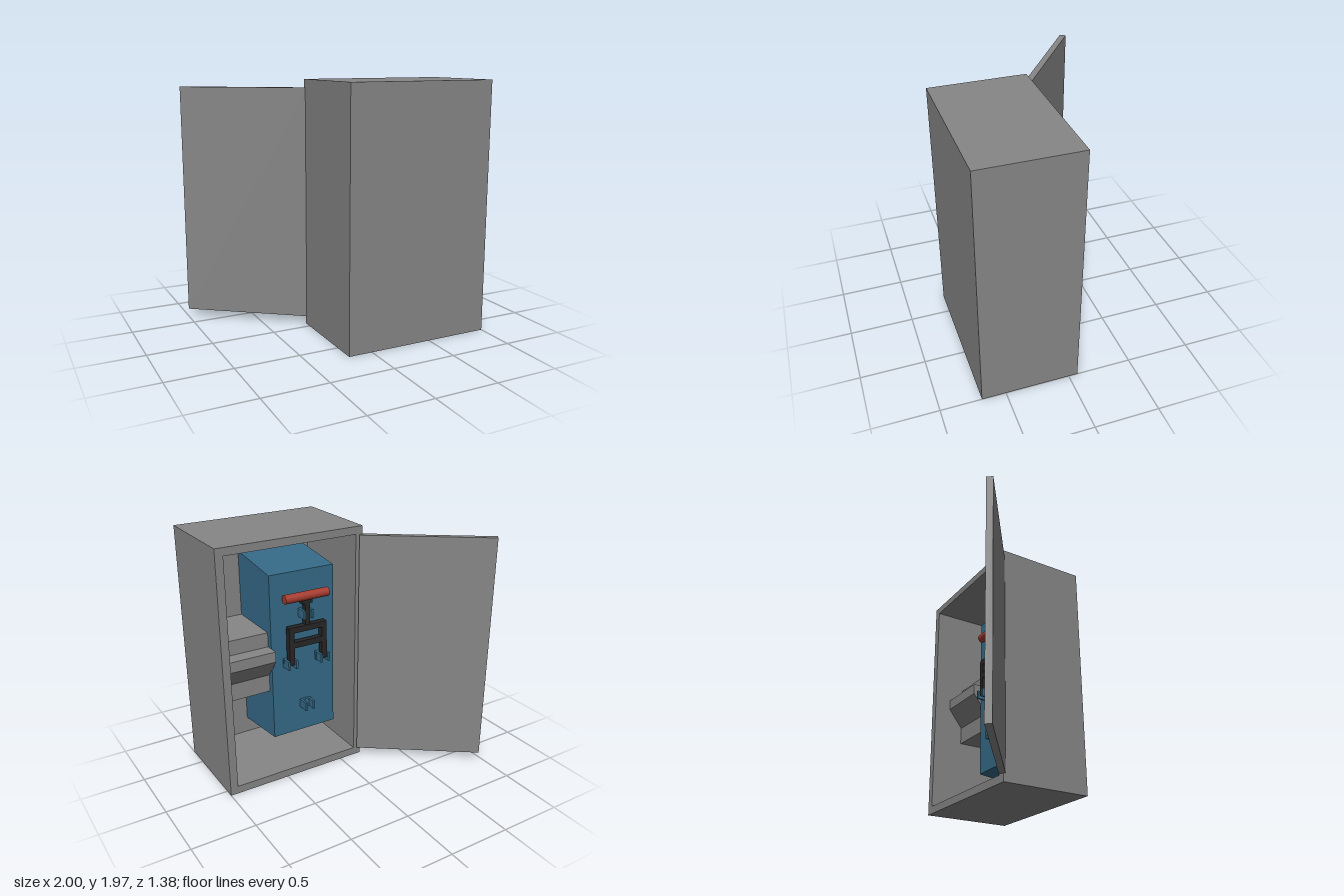
import * as THREE from 'three';

const mat = (name, color) => {
  const m = new THREE.MeshStandardMaterial({ color });
  m.name = name;
  return m;
};

export function createModel() {
  const steel = mat('grey steel', 0x868686);
  const blue = mat('blue panel', 0x356a87);
  const red = mat('red handle', 0xa63c30);
  const black = mat('black metal', 0x262626);
  const model = new THREE.Group();
  model.name = 'switchBox';

  const add = (name, geometry, material, parent = model) => {
    const mesh = new THREE.Mesh(geometry, material);
    mesh.name = name;
    parent.add(mesh);
    return mesh;
  };
  // Box given by its limits on each axis
  const box = (name, material, [x0, x1], [y0, y1], [z0, z1], parent) => {
    const mesh = add(name, new THREE.BoxGeometry(x1 - x0, y1 - y0, z1 - z0), material, parent);
    mesh.position.set((x0 + x1) / 2, (y0 + y1) / 2, (z0 + z1) / 2);
    return mesh;
  };
  const rect = (path, x0, x1, y0, y1) =>
    path.moveTo(x0, y0).lineTo(x1, y0).lineTo(x1, y1).lineTo(x0, y1).closePath();

  // Cabinet: rectangular walls with an open back, closed by a thin front panel
  const outline = rect(new THREE.Shape(), -0.19, 1, 0, 1.965);
  outline.holes.push(rect(new THREE.Path(), -0.13, 0.938, 0.063, 1.905));
  const walls = add('cabinetWalls', new THREE.ExtrudeGeometry(outline, { depth: 0.73, bevelEnabled: false }), steel);
  walls.position.z = -0.07;
  box('cabinetPanel', steel, [-0.19, 1], [0, 1.965], [0.66, 0.685]);

  // Door swung open on its hinge edge
  const door = add('door', new THREE.BoxGeometry(1.02, 1.835, 0.05), steel);
  door.position.set(-0.575, 0.983, -0.37);
  door.rotation.y = -Math.atan2(0.61, 0.82);

  // Mounting block, slightly taller where it meets the cabinet
  const block = box('mountingBlock', blue, [-0.057, 0.503], [0.262, 1.635], [0.137, 0.66]);
  const p = block.geometry.attributes.position;
  for (let i = 0; i < p.count; i++) {
    if (p.getZ(i) > 0) p.setY(i, p.getY(i) + Math.sign(p.getY(i)) * 0.065);
  }
  block.geometry.computeVertexNormals();

  // Fuse housing beside the block, with a wedge-shaped cover
  box('fuseHousing', steel, [0.5, 0.938], [0.66, 1.163], [0.19, 0.66]);
  const wedge = new THREE.Shape();
  wedge.moveTo(-0.2, 0.79).lineTo(-0.07, 0.96).lineTo(-0.07, 1.045).lineTo(-0.2, 1.045).closePath();
  const cover = add('fuseCover', new THREE.ExtrudeGeometry(wedge, { depth: 0.435, bevelEnabled: false }), steel);
  cover.rotation.y = Math.PI / 2;
  cover.position.x = 0.5;

  // Knife switch: grip, stem and a two-legged blade frame
  const mid = 0.217;
  const lever = new THREE.Group();
  lever.name = 'switchLever';
  model.add(lever);
  const grip = add('grip', new THREE.CylinderGeometry(0.036, 0.036, 0.38, 24), red, lever);
  grip.rotation.z = Math.PI / 2;
  grip.position.set(mid, 1.444, 0.085);
  box('stem', black, [mid - 0.02, mid + 0.02], [1.2, 1.43], [0.065, 0.11], lever);
  box('stemCollar', black, [mid - 0.045, mid + 0.045], [1.385, 1.415], [0.065, 0.11], lever);
  for (const y of [1.19, 1.065]) {
    box('crossBar', black, [mid - 0.165, mid + 0.165], [y - 0.024, y + 0.024], [0.06, 0.11], lever);
  }
  for (const s of [-1, 1]) {
    const x = mid + s * 0.145;
    box('blade', black, [x - 0.022, x + 0.022], [0.9, 1.2], [0.06, 0.11], lever);
  }

  // Contact clips: a foot with two upright jaws
  for (const [x, y] of [[mid, 1.3], [mid - 0.145, 0.905], [mid + 0.145, 0.905], [mid, 0.51]]) {
    const clip = new THREE.Group();
    clip.name = 'contactClip';
    model.add(clip);
    box('clipFoot', blue, [x - 0.045, x + 0.045], [y - 0.035, y + 0.035], [0.115, 0.14], clip);
    for (const s of [-1, 1]) {
      const jx = x + s * 0.034;
      box('clipJaw', blue, [jx - 0.009, jx + 0.009], [y - 0.035, y + 0.035], [0.045, 0.125], clip);
    }
  }
  return model;
}
